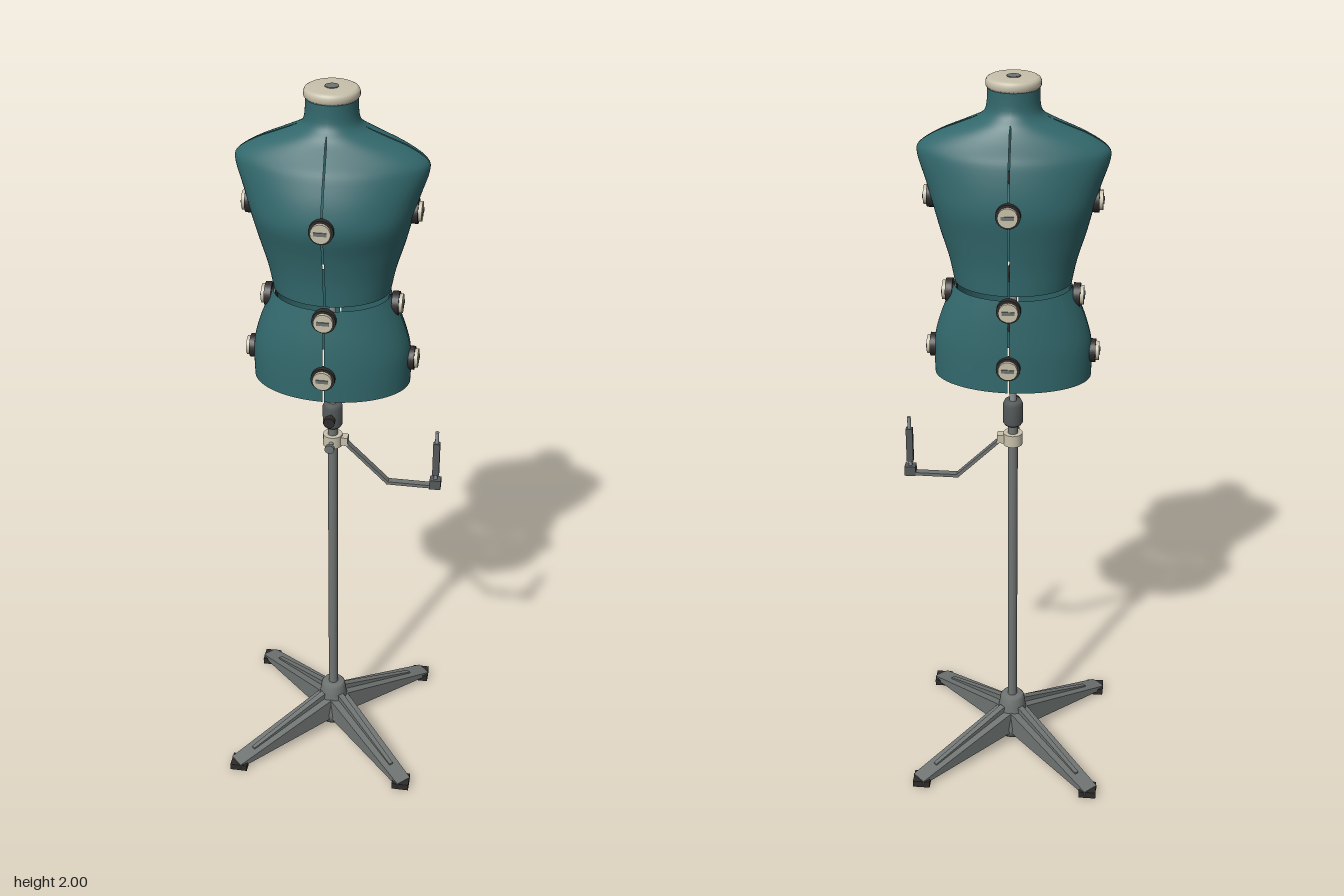
import * as THREE from 'three';

const mat = (name, color, side = THREE.FrontSide) => {
  const m = new THREE.MeshStandardMaterial({ color, side });
  m.name = name;
  return m;
};

// Body rows: height, half width, front depth, back depth, roundness exponent, seam half gap
const UPPER = [
  [1.98, .064, .064, .064, 1, 0], [1.93, .066, .066, .066, 1, 0], [1.905, .08, .077, .077, 1, 0],
  [1.885, .125, .088, .088, 1.04, .002], [1.86, .187, .099, .099, 1.1, .002], [1.83, .233, .112, .11, 1.12, .002],
  [1.80, .238, .126, .121, 1.1, .002], [1.74, .219, .147, .133, 1.02, .002], [1.68, .202, .155, .137, .96, .002],
  [1.61, .184, .137, .128, 1, .002], [1.54, .163, .124, .12, 1, .002], [1.476, .15, .12, .118, 1, .002],
];
const LOWER = [
  [1.464, .151, .12, .118, 1, .002], [1.42, .171, .127, .123, 1, .002], [1.37, .19, .135, .127, 1, .002],
  [1.32, .203, .14, .13, 1, .002], [1.27, .206, .142, .131, 1, .002], [1.215, .205, .142, .132, 1, .002],
];

// Catmull-Rom smoothing of the row table
function smoothRows(rows, steps) {
  const out = [];
  const at = i => rows[Math.max(0, Math.min(rows.length - 1, i))];
  for (let i = 0; i < rows.length - 1; i++) {
    for (let s = 0; s < steps; s++) {
      const t = s / steps;
      out.push(rows[i].map((p1, k) => {
        const p0 = at(i - 1)[k], p2 = at(i + 1)[k], p3 = at(i + 2)[k];
        const v = p1 + .5 * t * (p2 - p0 + t * (2 * p0 - 5 * p1 + 4 * p2 - p3 + t * (3 * (p1 - p2) + p3 - p0)));
        return k === 5 ? Math.max(0, v) : v;
      }));
    }
  }
  out.push(rows[rows.length - 1]);
  return out;
}

// One quarter of the shell, with a narrow seam gap at both vertical edges
function panelGeometry(table, sx, sz) {
  const rows = smoothRows(table, 4), n = 20, pos = [], idx = [];
  for (const [y, a, front, back, e, gap] of rows) {
    for (let j = 0; j <= n; j++) {
      const t = j / n * Math.PI / 2, b = sz > 0 ? front : back;
      const x = a * Math.pow(Math.max(0, Math.cos(t)), e), z = b * Math.pow(Math.sin(t), e);
      pos.push(sx * Math.max(x, gap), y, sz * Math.max(z, gap));
    }
  }
  for (let i = 0; i < rows.length - 1; i++) {
    for (let j = 0; j < n; j++) {
      const a = i * (n + 1) + j, b = a + 1, c = a + n + 1, d = c + 1;
      if (sx * sz > 0) idx.push(a, b, c, b, d, c);
      else idx.push(a, c, b, b, c, d);
    }
  }
  const g = new THREE.BufferGeometry();
  g.setAttribute('position', new THREE.Float32BufferAttribute(pos, 3));
  g.setIndex(idx);
  g.computeVertexNormals();
  return g;
}

// Bar along +x with separate height and width at each end
function taperedBar(x0, x1, inner, outer) {
  const g = new THREE.BoxGeometry(1, 1, 1), p = g.attributes.position;
  for (let i = 0; i < p.count; i++) {
    const [bottom, top, width] = p.getX(i) < 0 ? inner : outer;
    p.setXYZ(i, p.getX(i) < 0 ? x0 : x1, p.getY(i) < 0 ? bottom : top, p.getZ(i) * width);
  }
  g.computeVertexNormals();
  return g;
}

export function createModel() {
  const fabric = mat('teal fabric', 0x32686c, THREE.DoubleSide);
  const cream = mat('cream plastic', 0xc8c1ac);
  const black = mat('black plastic', 0x2e2c2b);
  const grey = mat('grey metal', 0x6f7472);
  const steel = mat('light steel', 0x8d9294);
  const darkGrey = mat('dark grey plastic', 0x55595a);

  const model = new THREE.Group();
  model.name = 'dressForm';
  const form = new THREE.Group();
  form.name = 'form';
  form.position.x = -.017;
  model.add(form);
  const add = (name, geo, material, x = 0, y = 0, z = 0, parent = form) => {
    const m = new THREE.Mesh(geo, material);
    m.name = name;
    m.position.set(x, y, z);
    parent.add(m);
    return m;
  };
  const cyl = (r1, r2, h, n = 24) => new THREE.CylinderGeometry(r1, r2, h, n);
  const lathe = (pts, n = 40) => new THREE.LatheGeometry(pts.map(p => new THREE.Vector2(...p)), n);

  // Torso and hip panels
  for (const sx of [1, -1]) for (const sz of [1, -1]) {
    add('torsoPanel', panelGeometry(UPPER, sx, sz), fabric);
    add('hipPanel', panelGeometry(LOWER, sx, sz), fabric);
  }

  // Neck cap
  add('neckCap', lathe([[0, 1.972], [.064, 1.972], [.068, 1.978], [.068, 1.988], [.065, 1.994], [.058, 1.998], [0, 1.998]]), cream);
  add('neckCapPin', cyl(.017, .017, .01), grey, 0, 1.995, 0);

  // Adjusting dials: height, side reach, front reach, back reach
  const dials = [[1.695, .205, .154, .137], [1.44, .163, .124, .121], [1.285, .206, .142, .131]];
  for (const [y, side, front, back] of dials) {
    [front, side, back, side].forEach((reach, k) => {
      const dial = new THREE.Group();
      dial.name = 'dial';
      dial.position.y = y;
      dial.rotation.y = k * Math.PI / 2;
      form.add(dial);
      const disc = (name, r, h, z, m, n) => {
        add(name, cyl(r, r, h, n), m, 0, 0, reach + z, dial).rotation.x = Math.PI / 2;
      };
      disc('dialBase', .031, .018, .001, black, 24);
      disc('dialKnob', .025, .01, .014, cream, 20);
      disc('dialInnerPlate', .022, .012, -.012, black, 20);
      add('dialGrip', new THREE.BoxGeometry(.032, .009, .004), grey, 0, 0, reach + .0195, dial);
    });
  }

  // Pole and height clamp
  add('lowerPole', cyl(.0135, .0135, .97), grey, 0, .585, 0);
  add('upperPole', cyl(.0095, .0095, .5), steel, 0, 1.3, 0);
  add('heightClamp', lathe([[0, 1.058], [.022, 1.058], [.027, 1.066], [.027, 1.118], [.022, 1.13], [0, 1.13]], 20), darkGrey);
  add('clampScrew', cyl(.006, .006, .03, 12), grey, 0, 1.1, .033).rotation.x = Math.PI / 2;
  add('clampKnob', cyl(.015, .015, .018, 16), black, 0, 1.1, .052).rotation.x = Math.PI / 2;

  // Hem marker collar
  add('markerCollar', cyl(.026, .026, .034), cream, 0, 1.015, 0);
  add('markerLug', new THREE.BoxGeometry(.026, .024, .024), cream, .029, 1.015, 0);
  add('markerScrew', cyl(.006, .006, .03, 12), steel, 0, 1.015, .036).rotation.x = Math.PI / 2;
  add('markerKnob', cyl(.013, .013, .01, 16), grey, 0, 1.015, .052).rotation.x = Math.PI / 2;

  // Hem marker arm: flat strip bent along a path
  const strip = (name, x0, y0, x1, y1) => {
    const dx = x1 - x0, dy = y1 - y0;
    const bar = add(name, new THREE.BoxGeometry(Math.hypot(dx, dy) + .006, .009, .019), grey, (x0 + x1) / 2, (y0 + y1) / 2, 0);
    bar.rotation.z = Math.atan2(dy, dx);
  };
  strip('armSlope', .034, 1.01, .152, .893);
  strip('armReach', .152, .893, .285, .893);
  add('armBlock', new THREE.BoxGeometry(.03, .028, .026), darkGrey, .282, .902, 0);
  add('markerPost', cyl(.005, .005, .15, 12), steel, .282, .99, 0);
  add('markerClip', new THREE.BoxGeometry(.018, .1, .016), darkGrey, .282, .98, 0);

  // Base hub
  add('hub', lathe([[0, .024], [.045, .024], [.047, .04], [.05, .05], [.045, .085], [.038, .125], [.035, .148], [.029, .156], [0, .156]], 28), grey);

  // Four legs with a raised rib and a black foot
  for (let k = 0; k < 4; k++) {
    const leg = new THREE.Group();
    leg.name = 'leg';
    leg.rotation.y = Math.PI / 4 + k * Math.PI / 2;
    form.add(leg);
    add('legBar', taperedBar(.02, .35, [.04, .112, .062], [.01, .022, .046]), grey, 0, 0, 0, leg);
    add('legRib', taperedBar(.03, .29, [.06, .127, .018], [.03, .043, .012]), grey, 0, 0, 0, leg);
    const foot = add('foot', new THREE.BoxGeometry(.048, .02, .048), black, .337, .01, 0, leg);
    foot.rotation.y = Math.PI / 4;
  }
  return model;
}
